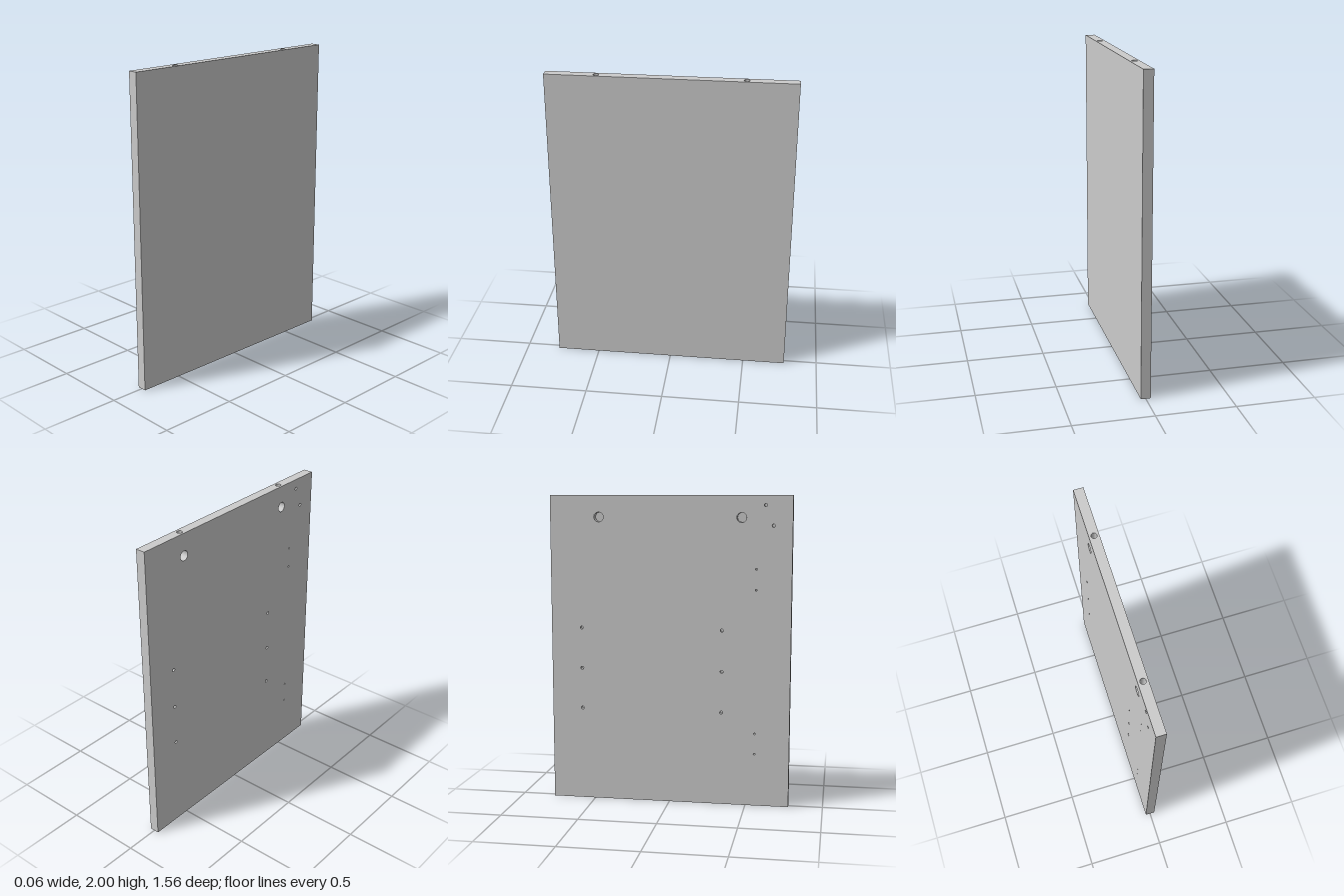
import * as THREE from 'three';

const W = 0.062, H = 2, D = 1.56; // panel thickness, height, depth
const SEG = 24;
const solid = new THREE.MeshStandardMaterial({ color: 0xcccccc });
const inner = new THREE.MeshStandardMaterial({ color: 0xcccccc, side: THREE.DoubleSide });

// A w by h face looking along +z, with drilled bores { x, y, r, depth, open } sunk towards -z
function drilledFace(name, w, h, bores = []) {
  const group = new THREE.Group();
  group.name = name;
  const shape = new THREE.Shape();
  shape.moveTo(-w / 2, -h / 2).lineTo(w / 2, -h / 2).lineTo(w / 2, h / 2).lineTo(-w / 2, h / 2).closePath();
  for (const { x, y, r, depth, open } of bores) {
    shape.holes.push(new THREE.Path().absarc(x, y, r, 0, Math.PI * 2, true));
    const wall = new THREE.Mesh(new THREE.CylinderGeometry(r, r, depth, SEG, 1, true).rotateX(Math.PI / 2), inner);
    wall.position.set(x, y, -depth / 2);
    wall.name = 'boreWall';
    group.add(wall);
    if (open) continue;
    const floor = new THREE.Mesh(new THREE.CircleGeometry(r, SEG), solid);
    floor.position.set(x, y, -depth);
    floor.name = 'boreFloor';
    group.add(floor);
  }
  const face = new THREE.Mesh(new THREE.ShapeGeometry(shape, SEG), solid);
  face.name = name + 'Surface';
  group.add(face);
  return group;
}

export function createModel() {
  const model = new THREE.Group();
  model.name = 'drilledSidePanel';
  const bore = (x, y, r, depth, open = false) => ({ x, y, r, depth, open });

  // Bores on the inner face: x is the panel's z, y is measured from mid height
  const inside = [];
  for (const z of [-0.46, 0.46]) inside.push(bore(z, 0.86, 0.031, 0.05)); // cam sockets
  for (const z of [-0.58, 0.34])
    for (const y of [0.61, 0.877, 1.144]) inside.push(bore(z, y - 1, 0.01, 0.035)); // shelf pins
  for (const y of [0.343, 0.477, 1.405, 1.538]) inside.push(bore(0.556, y - 1, 0.006, 0.035)); // hinge plate screws
  inside.push(bore(0.61, 0.937, 0.01, 0.035), bore(0.66, 0.81, 0.01, 0.035)); // corner fitting

  const innerFace = drilledFace('innerFace', D, H, inside);
  innerFace.rotation.y = -Math.PI / 2;
  innerFace.position.set(-W / 2, H / 2, 0);

  const outerFace = drilledFace('outerFace', D, H);
  outerFace.rotation.y = Math.PI / 2;
  outerFace.position.set(W / 2, H / 2, 0);

  // Front and back edges
  const frontEdge = drilledFace('frontEdge', W, H);
  frontEdge.position.set(0, H / 2, D / 2);
  const backEdge = drilledFace('backEdge', W, H);
  backEdge.rotation.y = Math.PI;
  backEdge.position.set(0, H / 2, -D / 2);

  // Top edge: bolt bores running down into the cam sockets
  const topEdge = drilledFace('topEdge', W, D, [-0.46, 0.46].map((z) => bore(0, z, 0.0175, 0.109, true)));
  topEdge.rotation.x = -Math.PI / 2;
  topEdge.position.y = H;

  // Bottom edge: narrow pilot bores
  const bottomEdge = drilledFace('bottomEdge', W, D, [-0.46, 0.46].map((z) => bore(0, z, 0.01, 0.1)));
  bottomEdge.rotation.x = Math.PI / 2;

  model.add(innerFace, outerFace, frontEdge, backEdge, topEdge, bottomEdge);
  return model;
}
